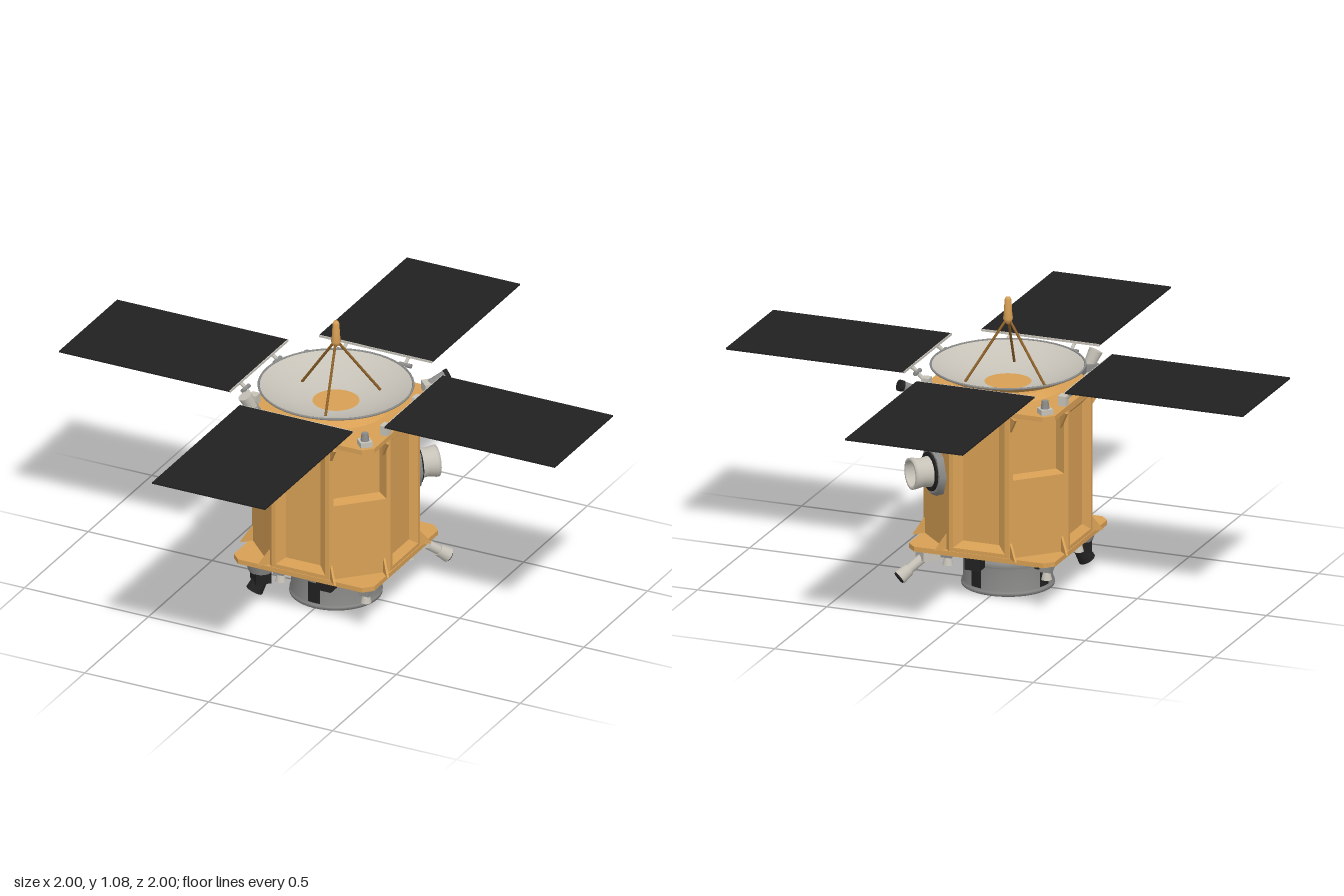
import * as THREE from 'three';

const flat = (name, color, side = THREE.FrontSide) =>
  Object.assign(new THREE.MeshStandardMaterial({ color, side }), { name });

export function createModel() {
  const gold = flat('gold foil', 0xd8a055, THREE.DoubleSide);
  const pale = flat('pale grey', 0xc6c2b8, THREE.DoubleSide);
  const grey = flat('metal grey', 0x8c8c8b, THREE.DoubleSide);
  const black = flat('black', 0x212121);
  const bronze = flat('bronze strut', 0x8f6128);
  const model = new THREE.Group();
  model.name = 'satellite';

  const add = (parent, name, geometry, material, x = 0, y = 0, z = 0) => {
    const m = new THREE.Mesh(geometry, material);
    m.name = name;
    m.position.set(x, y, z);
    parent.add(m);
    return m;
  };
  const group = (name, x = 0, y = 0, z = 0, ry = 0) => {
    const g = new THREE.Group();
    g.name = name;
    g.position.set(x, y, z);
    g.rotation.y = ry;
    model.add(g);
    return g;
  };
  const box = (w, h, d) => new THREE.BoxGeometry(w, h, d);
  const cyl = (r1, r2, h, n = 16, open = false) => new THREE.CylinderGeometry(r1, r2, h, n, 1, open);
  const lathe = (pts, n = 48) => new THREE.LatheGeometry(pts.map(p => new THREE.Vector2(...p)), n);
  // cylinder running between two points
  const rod = (parent, name, a, b, r1, r2, material, n = 10) => {
    const A = new THREE.Vector3(...a), B = new THREE.Vector3(...b), d = B.clone().sub(A);
    const m = add(parent, name, cyl(r2, r1, d.length(), n), material);
    m.position.copy(A).add(B).multiplyScalar(0.5);
    m.quaternion.setFromUnitVectors(new THREE.Vector3(0, 1, 0), d.normalize());
    return m;
  };

  // body wall: a rectangle with a sunken, tapering pocket, made of nested rings
  const wall = (hole, floor, depth) => {
    const rings = [[0.116, 0.18, 0.735, 0], [...hole, 0], [...floor, -depth]].map(([w, lo, hi, z]) =>
      [[-w, lo, z], [w, lo, z], [w, hi, z], [-w, hi, z]]);
    const v = [];
    const quad = (a, b, c, d) => v.push(...a, ...b, ...c, ...a, ...c, ...d);
    for (let r = 0; r < 2; r++)
      for (let i = 0; i < 4; i++) {
        const j = (i + 1) % 4;
        quad(rings[r][i], rings[r][j], rings[r + 1][j], rings[r + 1][i]);
      }
    quad(...rings[2]);
    const g = new THREE.BufferGeometry();
    g.setAttribute('position', new THREE.Float32BufferAttribute(v, 3));
    g.computeVertexNormals();
    return g;
  };

  // eight body walls
  for (let i = 0; i < 8; i++) {
    const a = i * Math.PI / 4;
    const g = i % 2 === 0 ? wall([0.1, 0.205, 0.715], [0.07, 0.23, 0.69], 0.022)
      : i === 3 ? wall([0.06, 0.57, 0.66], [0.055, 0.575, 0.655], 0.04)
        : wall([0.1, 0.485, 0.705], [0.09, 0.49, 0.7], 0.05);
    add(model, 'bodyWall', g, gold, 0.28 * Math.sin(a), 0, 0.28 * Math.cos(a)).rotation.y = a;
  }

  // square decks with clipped corners
  const s = 0.283, c = 0.25;
  const deckShape = new THREE.Shape([[s, -c], [s, c], [c, s], [-c, s], [-s, c], [-s, -c], [-c, -s], [c, -s]]
    .map(p => new THREE.Vector2(...p)));
  for (const [name, y, h] of [['lowerDeck', 0.173, 0.018], ['upperDeck', 0.727, 0.018]])
    add(model, name, new THREE.ExtrudeGeometry(deckShape, { depth: h, bevelEnabled: false }),
      gold, 0, y, 0).rotation.x = -Math.PI / 2;

  // corner gussets joining the walls to the decks
  for (let i = 0; i < 4; i++) {
    const g = group('cornerGussets', 0, 0, 0, (i + 0.5) * Math.PI / 2);
    for (const [y, up] of [[0.19, 1], [0.727, -1]])
      for (const x of [-0.1, 0.1]) {
        const tri = new THREE.Shape([[0.27, y], [0.325, y], [0.27, y + 0.07 * up]].map(p => new THREE.Vector2(...p)));
        add(g, 'gusset', new THREE.ExtrudeGeometry(tri, { depth: 0.008, bevelEnabled: false }),
          gold, x - 0.004, 0, 0).rotation.y = -Math.PI / 2;
      }
  }

  // hollow launch ring under the body
  add(model, 'launchRing', lathe([[0.15, 0.175], [0.15, 0.012], [0.155, 0], [0.168, 0], [0.168, 0.012],
    [0.162, 0.018], [0.162, 0.1], [0.168, 0.105], [0.168, 0.125], [0.155, 0.13], [0.155, 0.175]]), grey);
  add(model, 'ringCap', cyl(0.15, 0.15, 0.006, 32), black, 0, 0.168, 0);
  for (const a of [-0.18, 2.6, 4.3])
    add(model, 'ringPatch', new THREE.CylinderGeometry(0.165, 0.165, 0.08, 6, 1, true, a, 0.3), black, 0, 0.06, 0);

  // dish: pale inside, gold underneath
  const bowl = [[0.001, 0.755], [0.08, 0.761], [0.16, 0.778], [0.23, 0.803], [0.28, 0.828]];
  add(model, 'dishFace', lathe(bowl), pale);
  add(model, 'dishBack', lathe(bowl.map(([r, y]) => [r, y - 0.006])), gold);
  add(model, 'dishRim', new THREE.TorusGeometry(0.278, 0.004, 6, 48), grey, 0, 0.826, 0).rotation.x = Math.PI / 2;
  add(model, 'dishFoot', cyl(0.16, 0.2, 0.03, 24), gold, 0, 0.753, 0).scale.y = 0.6;

  // feed and its tripod
  for (const [x, z] of [[-0.16, 0.045 - 0.09], [0.12, -0.115], [0.04, 0.16]])
    rod(model, 'feedStrut', [x, 0.78, z], [0, 1.005, 0], 0.005, 0.005, bronze, 8);
  add(model, 'feed', lathe([[0, 0.975], [0.012, 0.985], [0.018, 1.0], [0.014, 1.03], [0.013, 1.07], [0.008, 1.08], [0, 1.081]], 16), gold);

  // four solar wings with hinge arms
  for (let i = 0; i < 4; i++) {
    const g = group('solarWing', 0, 0, 0, i * Math.PI / 2);
    add(g, 'solarPanel', box(0.688, 0.006, 0.456), black, 0.656, 0.828, 0);
    add(g, 'panelEdge', box(0.004, 0.008, 0.456), pale, 0.311, 0.827, 0);
    for (const z of [-0.125, 0.125]) {
      const path = new THREE.CatmullRomCurve3([[0.262, 0.765], [0.285, 0.78], [0.315, 0.81], [0.345, 0.818], [0.385, 0.82]]
        .map(([x, y]) => new THREE.Vector3(x, y, z)));
      add(g, 'hingeArm', new THREE.TubeGeometry(path, 14, 0.007, 6), pale);
      add(g, 'hingeBlock', box(0.03, 0.04, 0.035), pale, 0.265, 0.762, z);
      add(g, 'hingePin', cyl(0.008, 0.008, 0.05, 10), grey, 0.3, 0.797, z).rotation.x = Math.PI / 2;
    }
  }

  // main engine on the back left wall
  const engine = group('engine', 0, 0.46, 0, 3 * Math.PI / 4);
  const alongZ = (m) => { m.rotation.x = Math.PI / 2; return m; };
  alongZ(add(engine, 'mountPlate', cyl(0.085, 0.098, 0.025, 8), grey, 0, 0, 0.29));
  alongZ(add(engine, 'mountSeal', cyl(0.072, 0.072, 0.012, 16), black, 0, 0, 0.304));
  alongZ(add(engine, 'barrel', lathe([[0.062, -0.04], [0.052, 0.02], [0.058, 0.05], [0.058, 0.06], [0.046, 0.06], [0.046, 0], [0, 0]], 24), pale, 0, 0, 0.32));

  // instruments on the upper deck corners
  for (const k of [-1, 1]) {
    const g = group('cornerSensor', 0.24 * k, 0.745, 0.24 * k, Math.PI / 4);
    add(g, 'sensorBase', box(0.045, 0.02, 0.045), pale, 0, 0.01, 0);
    add(g, 'sensorHead', cyl(0.012, 0.016, 0.03, 10), grey, 0, 0.035, 0);
  }
  const tracker = group('starTracker', -0.225, 0.745, 0.225, -Math.PI / 4);
  add(tracker, 'trackerBox', box(0.06, 0.045, 0.05), grey, 0, 0.022, 0);
  rod(tracker, 'trackerTube', [0, 0.03, -0.005], [0, 0.088, 0.025], 0.02, 0.026, pale, 14);
  const upper = group('upperThruster', 0.25, 0.745, -0.25, 3 * Math.PI / 4);
  add(upper, 'thrusterBase', box(0.05, 0.035, 0.05), pale, 0, 0.018, 0);
  rod(upper, 'thrusterTube', [0, 0.03, 0], [0, 0.055, 0.065], 0.014, 0.02, grey, 12);
  rod(upper, 'thrusterTip', [0, 0.052, 0.057], [0, 0.058, 0.072], 0.021, 0.021, black, 12);

  // black camera under the front right corner
  const cam = group('lowerCamera', -0.2, 0, 0.2, -Math.PI / 4);
  add(cam, 'cameraBracket', cyl(0.06, 0.045, 0.05, 10), grey, 0, 0.148, 0);
  add(cam, 'cameraBody', box(0.065, 0.06, 0.06), black, 0, 0.11, 0);
  rod(cam, 'cameraLens', [0, 0.1, -0.005], [0, 0.045, 0.025], 0.026, 0.032, black, 14);

  // thruster slanting out below the back left corner
  const low = group('lowerThruster', 0, 0, 0, 3 * Math.PI / 4);
  add(low, 'thrusterBase', box(0.07, 0.04, 0.07), pale, 0, 0.152, 0.31);
  rod(low, 'thrusterArm', [0, 0.145, 0.32], [0, 0.09, 0.4], 0.018, 0.018, pale, 14);
  rod(low, 'thrusterBell', [0, 0.1, 0.385], [0, 0.074, 0.423], 0.022, 0.028, pale, 14);
  rod(low, 'thrusterMouth', [0, 0.075, 0.421], [0, 0.071, 0.427], 0.023, 0.023, black, 14);

  // small nozzles and boxes around the launch ring
  for (const [x, z] of [[0.25, 0.25], [-0.25, -0.25], [0.14, -0.23], [0.23, -0.13], [-0.1, 0.24], [-0.24, 0.08]]) {
    add(model, 'nozzleBase', box(0.04, 0.022, 0.04), grey, x, 0.163, z);
    add(model, 'nozzle', cyl(0.012, 0.02, 0.032, 12), pale, x, 0.137, z);
  }
  for (const [x, z] of [[0.07, 0.21], [0.2, -0.06], [0.04, -0.22], [-0.19, -0.12]])
    add(model, 'equipmentBox', box(0.06, 0.06, 0.05), black, x, 0.145, z);

  return model;
}
